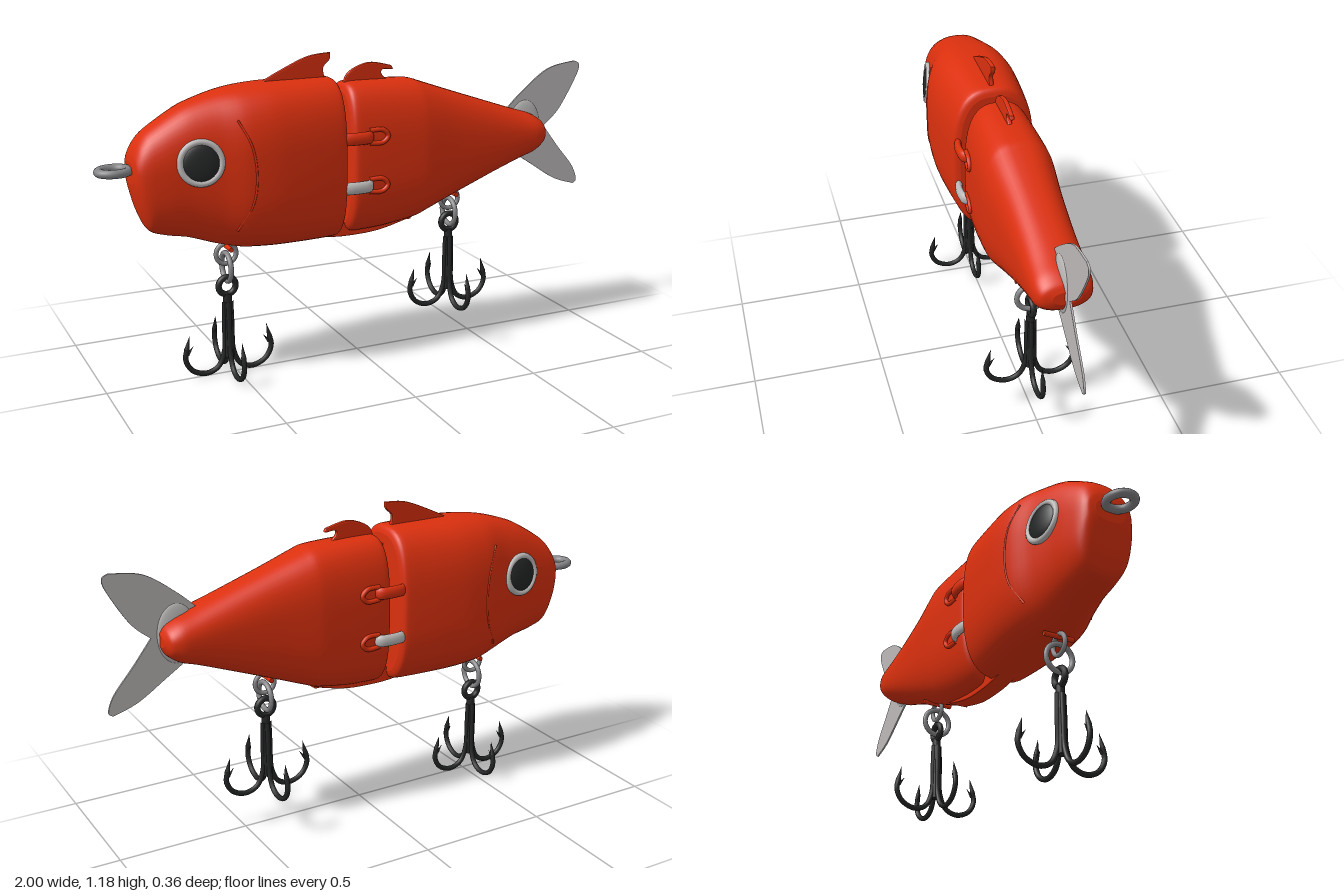
import * as THREE from 'three';

const paint = (name, color, extra = {}) => Object.assign(new THREE.MeshStandardMaterial({ color, ...extra }), { name });

// Smooth loft along x; each station is [x, bottom, top, halfWidth, squareness].
function loft(stations, sub = 4, sides = 48) {
  const a = new THREE.CatmullRomCurve3(stations.map(s => new THREE.Vector3(s[0], s[1], s[2])), false, 'catmullrom', 0.4);
  const b = new THREE.CatmullRomCurve3(stations.map(s => new THREE.Vector3(s[3], s[4], 0)), false, 'catmullrom', 0.4);
  const pos = [], idx = [], rows = (stations.length - 1) * sub;
  const bend = (v, n) => Math.sign(v) * Math.abs(v) ** (2 / n);
  const ring = t => {
    const p = a.getPoint(t), q = b.getPoint(t);
    for (let j = 0; j < sides; j++) {
      const g = j / sides * Math.PI * 2;
      pos.push(p.x, (p.y + p.z) / 2 + (p.z - p.y) / 2 * bend(Math.sin(g), q.y), q.x * bend(Math.cos(g), q.y));
    }
    return p;
  };
  for (let i = 0; i <= rows; i++) ring(i / rows);
  for (let i = 0; i < rows; i++) for (let j = 0; j < sides; j++) {
    const k = (j + 1) % sides, r = i * sides, s = r + sides;
    idx.push(r + j, s + j, r + k, r + k, s + j, s + k);
  }
  // Flat end caps with their own vertices
  for (const t of [0, 1]) {
    const start = pos.length / 3, p = ring(t), c = start + sides;
    pos.push(p.x, (p.y + p.z) / 2, 0);
    for (let j = 0; j < sides; j++) {
      const k = (j + 1) % sides;
      if (t) idx.push(c, start + k, start + j); else idx.push(c, start + j, start + k);
    }
  }
  const g = new THREE.BufferGeometry();
  g.setAttribute('position', new THREE.Float32BufferAttribute(pos, 3));
  g.setIndex(idx);
  g.computeVertexNormals();
  return g;
}

// Thin fin from straight and splined outline pieces, centred on z = 0
function finGeometry(pieces, depth, bevel) {
  const s = new THREE.Shape();
  s.moveTo(...pieces[0][0]);
  pieces.forEach(p => s.splineThru(p.slice(1).map(q => new THREE.Vector2(...q))));
  const g = new THREE.ExtrudeGeometry(s, { depth, curveSegments: 16, bevelEnabled: bevel > 0, bevelThickness: bevel, bevelSize: bevel, bevelOffset: -bevel, bevelSegments: 2 });
  return g.translate(0, 0, -depth / 2);
}

const curve = pts => new THREE.CatmullRomCurve3(pts.map(p => new THREE.Vector3(...p)));
const tube = (pts, r, seg = 24) => new THREE.TubeGeometry(curve(pts), seg, r, 10);

export function createModel() {
  const model = new THREE.Group();
  model.name = 'jointedFishingLure';
  const red = paint('body red', 0xdb300e);
  const silver = paint('fin silver', 0xbdb9b9, { side: THREE.DoubleSide });
  const steel = paint('ring steel', 0x858588);
  const black = paint('hook black', 0x242526);
  const add = (name, geo, mat, x = 0, y = 0, z = 0, parent = model) => {
    const m = new THREE.Mesh(geo, mat);
    m.name = name;
    m.position.set(x, y, z);
    parent.add(m);
    return m;
  };

  // Two body halves
  add('headBody', loft([
    [-0.875, 0.78, 0.86, 0.06, 2.4], [-0.868, 0.74, 0.89, 0.085, 2.5], [-0.85, 0.67, 0.925, 0.1, 2.6],
    [-0.82, 0.605, 0.96, 0.11, 2.6], [-0.76, 0.582, 1.0, 0.12, 2.6], [-0.68, 0.565, 1.045, 0.13, 2.6],
    [-0.58, 0.53, 1.078, 0.148, 2.6], [-0.49, 0.508, 1.095, 0.174, 2.7], [-0.38, 0.5, 1.103, 0.181, 2.8],
    [-0.25, 0.498, 1.103, 0.173, 2.8], [-0.13, 0.5, 1.102, 0.16, 2.8], [-0.108, 0.51, 1.092, 0.15, 2.8],
    [-0.1, 0.53, 1.072, 0.132, 2.8]]), red);
  add('tailBody', loft([
    [-0.07, 0.54, 1.045, 0.105, 2.8], [-0.06, 0.518, 1.07, 0.122, 2.8], [-0.035, 0.507, 1.08, 0.13, 2.8],
    [0.08, 0.512, 1.079, 0.136, 2.8], [0.21, 0.532, 1.072, 0.14, 2.8], [0.26, 0.55, 1.057, 0.137, 2.8],
    [0.38, 0.597, 1.015, 0.124, 2.7], [0.55, 0.663, 0.957, 0.112, 2.6], [0.68, 0.713, 0.913, 0.107, 2.5],
    [0.745, 0.735, 0.893, 0.104, 2.4], [0.785, 0.765, 0.87, 0.088, 2.3], [0.8, 0.795, 0.845, 0.05, 2.2]]), red);

  // Web across the joint and the belly keel
  add('jointWeb', new THREE.BoxGeometry(0.06, 0.5, 0.014), red, -0.085, 0.785, 0);
  add('bellyKeel', finGeometry([[[-0.3, 0.52], [-0.15, 0.496], [-0.05, 0.489], [0.08, 0.496], [0.22, 0.53]],
    [[0.22, 0.53], [-0.05, 0.56], [-0.3, 0.52]]], 0.06, 0.006), red);

  // Dorsal fins
  add('frontDorsalFin', finGeometry([
    [[-0.4, 1.09], [-0.31, 1.135], [-0.2, 1.18], [-0.11, 1.19]],
    [[-0.11, 1.19], [-0.112, 1.165], [-0.138, 1.135], [-0.13, 1.09]],
    [[-0.13, 1.09], [-0.4, 1.09]]], 0.008, 0.005), red);
  add('rearDorsalFin', finGeometry([
    [[-0.065, 1.04], [-0.045, 1.1], [0, 1.13], [0.06, 1.142], [0.14, 1.125]],
    [[0.14, 1.125], [0.145, 1.11], [0.105, 1.112], [0.1, 1.095], [0.13, 1.065]],
    [[0.13, 1.065], [-0.065, 1.04]]], 0.008, 0.005), red);

  // Forked tail fin and its thicker root
  add('tailFin', finGeometry([
    [[0.64, 0.9], [0.72, 0.975], [0.84, 1.06], [0.965, 1.084]],
    [[0.965, 1.084], [0.988, 1.068], [0.975, 1.02], [0.9, 0.895], [0.83, 0.83]],
    [[0.83, 0.83], [0.9, 0.74], [0.975, 0.65], [1.0, 0.59], [0.985, 0.572]],
    [[0.985, 0.572], [0.89, 0.605], [0.78, 0.675], [0.68, 0.74]],
    [[0.68, 0.74], [0.64, 0.9]]], 0.007, 0), silver);
  add('tailFinRoot', new THREE.SphereGeometry(1, 24, 16), silver, 0.735, 0.832, 0).scale.set(0.075, 0.112, 0.018);

  // Nose ring
  const nose = add('noseRing', new THREE.TorusGeometry(0.046, 0.016, 12, 32), steel, -0.93, 0.83, 0);
  nose.rotation.x = Math.PI / 2;
  nose.scale.x = 1.13;

  for (const side of [1, -1]) {
    // Eyes
    const eye = new THREE.Group();
    eye.name = side > 0 ? 'frontEye' : 'backEye';
    eye.position.set(-0.655, 0.86, side * 0.133);
    eye.rotation.set(side * -0.1, side * -0.16, 0);
    model.add(eye);
    add('eyeRim', new THREE.TorusGeometry(0.073, 0.012, 10, 40), silver, 0, 0, 0, eye);
    add('pupil', new THREE.SphereGeometry(1, 32, 16), black, 0, 0, 0, eye).scale.set(0.068, 0.07, 0.018);

    // Raised gill seam
    add('gillSeam', tube([[-0.52, 1.0, side * 0.142], [-0.48, 0.91, side * 0.17], [-0.466, 0.8, side * 0.176],
      [-0.48, 0.7, side * 0.17], [-0.53, 0.6, side * 0.137]], 0.004, 32), red);

    // Hinge straps and the loops they hook into
    [[0.89, red], [0.705, silver]].forEach(([y, mat]) => {
      const strap = add('hingeStrap', tube([[-0.13, 0, side * 0.125], [-0.1, 0, side * 0.14], [-0.05, 0, side * 0.145],
        [-0.012, 0, side * 0.138], [0, 0, side * 0.11]], 0.014), mat, 0, y, 0);
      strap.scale.y = 1.7;
      add('hingeLoop', tube([[-0.01, 0.024, side * 0.13], [0.045, 0.023, side * 0.135], [0.065, 0, side * 0.136],
        [0.045, -0.023, side * 0.135], [-0.01, -0.024, side * 0.13]], 0.009), red, 0, y, 0);
    });
  }

  // Treble hooks with their rings
  const buildHook = (name, x, lift, ringLift) => {
    const hook = new THREE.Group();
    hook.name = name;
    hook.position.x = x;
    model.add(hook);
    add('hangerRing', new THREE.TorusGeometry(0.039, 0.009, 10, 28), steel, 0, 0.475 + ringLift, 0, hook);
    add('splitRing', new THREE.TorusGeometry(0.053, 0.01, 10, 32), steel, 0, 0.423 + ringLift, 0, hook).rotation.y = Math.PI / 2;
    const iron = new THREE.Group();
    iron.name = 'trebleHook';
    iron.position.y = lift;
    hook.add(iron);
    add('hookEye', new THREE.TorusGeometry(0.033, 0.012, 10, 28), black, 0, 0.35, 0, iron);
    add('hookShank', new THREE.CylinderGeometry(0.016, 0.02, 0.25, 16), black, 0, 0.195, 0, iron);
    for (let k = 0; k < 4; k++) {
      const prong = new THREE.Group();
      prong.name = 'prong';
      prong.rotation.y = k * Math.PI / 2;
      iron.add(prong);
      add('prongWire', tube([[0.012, 0.29, 0], [0.014, 0.2, 0], [0.018, 0.09, 0], [0.045, 0.033, 0], [0.093, 0.016, 0],
        [0.145, 0.037, 0], [0.169, 0.082, 0], [0.163, 0.125, 0]], 0.01, 40), black, 0, 0, 0, prong);
      add('prongTip', new THREE.ConeGeometry(0.01, 0.055, 10), black, 0.157, 0.15, 0, prong).rotation.z = 0.23;
      add('barb', new THREE.ConeGeometry(0.007, 0.04, 8), black, 0.149, 0.118, 0, prong).rotation.z = 0.65;
    }
  };
  buildHook('frontHook', -0.53, 0, 0);
  buildHook('rearHook', 0.402, 0.13, 0.1);
  for (const [x, y] of [[-0.53, 0.505], [0.402, 0.604]])
    add('hangerPin', new THREE.CylinderGeometry(0.009, 0.009, 0.12, 12), red, x, y, 0).rotation.x = Math.PI / 2;

  return model;
}
